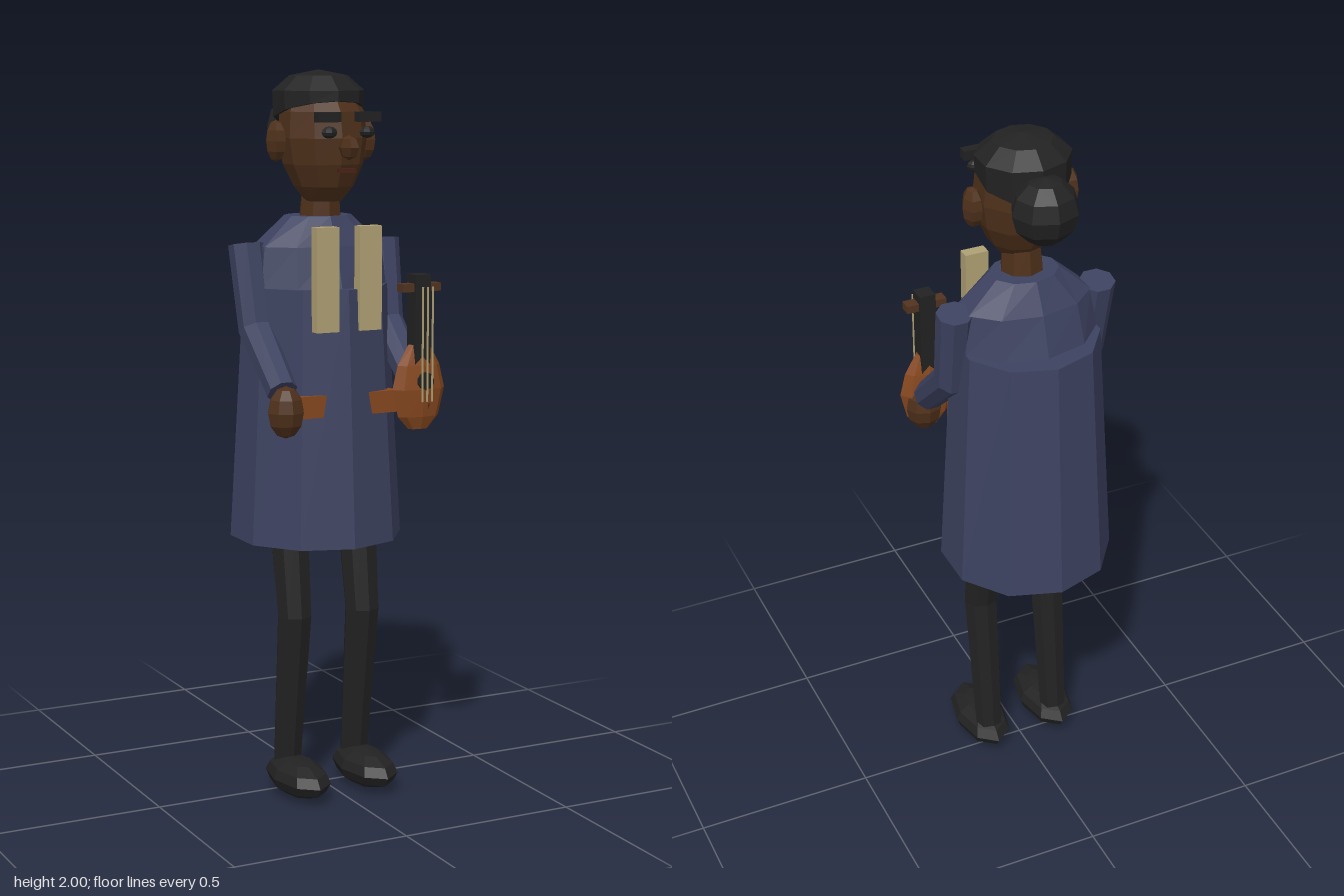
import * as THREE from 'three';

const mat = (name, color) => {
  const m = new THREE.MeshStandardMaterial({ color, flatShading: true });
  m.name = name;
  return m;
};

// Closed skin over elliptical rings [x, y, z, rx, rz], listed from bottom to top.
// With follow = true the rings turn with the path in the YZ plane.
function loft(rings, sides, { follow = false, phase = 0, shear = 0 } = {}) {
  const pos = [], idx = [];
  rings.forEach(([x, y, z, rx, rz], j) => {
    let ty = 1, tz = 0;
    if (follow) {
      const a = rings[Math.max(j - 1, 0)], b = rings[Math.min(j + 1, rings.length - 1)];
      const l = Math.hypot(b[1] - a[1], b[2] - a[2]);
      ty = (b[1] - a[1]) / l;
      tz = (b[2] - a[2]) / l;
    }
    for (let i = 0; i < sides; i++) {
      const t = (i / sides) * Math.PI * 2 + phase;
      const v = Math.cos(t) * rz;
      const dy = j === 0 ? v * shear : 0;
      pos.push(x + Math.sin(t) * rx, y - tz * v + dy, z + ty * v);
    }
  });
  const n = rings.length - 1;
  for (let j = 0; j < n; j++)
    for (let i = 0; i < sides; i++) {
      const k = (i + 1) % sides, a = j * sides, b = a + sides;
      idx.push(a + i, a + k, b + k, a + i, b + k, b + i);
    }
  for (let i = 1; i < sides - 1; i++) {
    idx.push(0, i + 1, i);
    idx.push(n * sides, n * sides + i, n * sides + i + 1);
  }
  const g = new THREE.BufferGeometry();
  g.setAttribute('position', new THREE.Float32BufferAttribute(pos, 3));
  g.setIndex(idx);
  g.computeVertexNormals();
  return g;
}

export function createModel() {
  const root = new THREE.Group();
  root.name = 'musician';
  const body = new THREE.Group();
  body.name = 'figure';
  body.position.x = -0.005;
  root.add(body);

  const skin = mat('dark skin', 0x4e301a);
  const lip = mat('lip', 0x4a2218);
  const coat = mat('navy coat', 0x3d4260);
  const black = mat('black', 0x222222);
  const cream = mat('cream', 0xb0a174);
  const wood = mat('orange wood', 0x86481f);
  const pegWood = mat('brown wood', 0x523420);

  const add = (name, geo, m, parent = body) => {
    const mesh = new THREE.Mesh(geo, m);
    mesh.name = name;
    parent.add(mesh);
    return mesh;
  };
  const box = (name, [w, h, d], [x, y, z], m, parent) => {
    const b = add(name, new THREE.BoxGeometry(w, h, d), m, parent);
    b.position.set(x, y, z);
    return b;
  };
  const blob = (name, [rx, ry, rz], [x, y, z], m, ws = 8, hs = 6) => {
    const b = add(name, new THREE.SphereGeometry(1, ws, hs), m);
    b.scale.set(rx, ry, rz);
    b.position.set(x, y, z);
    return b;
  };

  // Coat: ten-sided skirt and shoulder yoke
  add('coatSkirt', loft([
    [0, 0.72, -0.03, 0.24, 0.24],
    [0, 1.42, -0.03, 0.2, 0.2],
  ], 10), coat);
  add('coatYoke', loft([
    [0, 1.3, -0.02, 0.17, 0.14],
    [0, 1.42, -0.02, 0.2, 0.152],
    [0, 1.53, -0.02, 0.185, 0.118],
    [0, 1.61, -0.018, 0.095, 0.078],
  ], 10), coat);

  // Neck and head
  add('neck', loft([
    [0, 1.58, -0.005, 0.062, 0.06],
    [0, 1.69, 0, 0.052, 0.052],
  ], 8), skin);
  add('head', loft([
    [0, 1.65, 0.02, 0.05, 0.05],
    [0, 1.69, 0.02, 0.082, 0.083],
    [0, 1.75, 0.015, 0.11, 0.11],
    [0, 1.82, 0.012, 0.122, 0.12],
    [0, 1.89, 0.008, 0.116, 0.112],
    [0, 1.94, 0, 0.09, 0.085],
  ], 10), skin);
  blob('nose', [0.024, 0.033, 0.042], [0, 1.798, 0.168], skin, 6, 4);
  box('mouth', [0.05, 0.012, 0.014], [0, 1.737, 0.154], lip);

  // Hair cap, lower at the back, and a bun
  add('hairCap', loft([
    [0, 1.885, -0.012, 0.124, 0.12],
    [0, 1.945, -0.012, 0.127, 0.12],
    [0, 1.985, -0.012, 0.08, 0.076],
    [0, 2.0, -0.012, 0.002, 0.002],
  ], 10, { shear: 0.28 }), black);
  blob('hairBun', [0.092, 0.092, 0.085], [0, 1.842, -0.143], black, 8, 6);

  // Paired parts
  for (const [side, s] of [['left', 1], ['right', -1]]) {
    blob(side + 'Ear', [0.028, 0.056, 0.038], [s * 0.135, 1.812, 0.003], skin, 6, 6);
    blob(side + 'Eye', [0.023, 0.016, 0.016], [s * 0.056, 1.838, 0.165], black, 8, 6);
    box(side + 'Brow', [0.066, 0.026, 0.028], [s * 0.06, 1.878, 0.163], black);
    box(side + 'Lapel', [0.066, 0.28, 0.034], [s * 0.064, 1.45, 0.158], cream);
    box(side + 'Pocket', [0.1, 0.06, 0.045], [s * 0.1, 1.11, 0.143], wood);
    add(side + 'Sleeve', loft([
      [s * 0.2, 1.16, 0.175, 0.042, 0.042],
      [s * 0.2, 1.31, 0.01, 0.047, 0.05],
      [s * 0.206, 1.535, -0.035, 0.05, 0.048],
    ], 8, { follow: true, phase: Math.PI / 8 }), coat);
    blob(side + 'Hand', [0.052, 0.07, 0.045], [s * 0.203, 1.11, 0.203], skin, 8, 6);
    add(side + 'Leg', loft([
      [s * 0.105, 0.07, 0, 0.04, 0.038],
      [s * 0.105, 0.51, 0.05, 0.05, 0.046],
      [s * 0.105, 0.82, 0.008, 0.058, 0.055],
    ], 8, { follow: true }), black);
    blob(side + 'Shoe', [0.074, 0.052, 0.142], [s * 0.105, 0.053, 0.069], black, 8, 6);
  }

  // Small string instrument held in the left hand
  const lute = new THREE.Group();
  lute.name = 'stringInstrument';
  lute.position.set(0.181, 0, 0.22);
  root.add(lute);
  add('instrumentBody', loft([
    [0, 1.04, 0, 0.03, 0.014],
    [0, 1.075, 0, 0.062, 0.026],
    [0, 1.15, 0, 0.08, 0.035],
    [0, 1.215, 0, 0.064, 0.029],
    [0, 1.27, 0, 0.032, 0.018],
  ], 8), wood, lute);
  box('instrumentNeck', [0.046, 0.28, 0.048], [0, 1.32, 0], black, lute);
  box('pegBar', [0.115, 0.022, 0.034], [0, 1.425, 0], pegWood, lute);
  const hole = add('soundHole', new THREE.CylinderGeometry(0.024, 0.024, 0.008, 10), black, lute);
  hole.rotation.x = Math.PI / 2;
  hole.position.set(0, 1.175, 0.041);
  for (const i of [-1, 0, 1])
    box('string', [0.004, 0.31, 0.004], [i * 0.015, 1.275, 0.05], cream, lute);

  return root;
}
